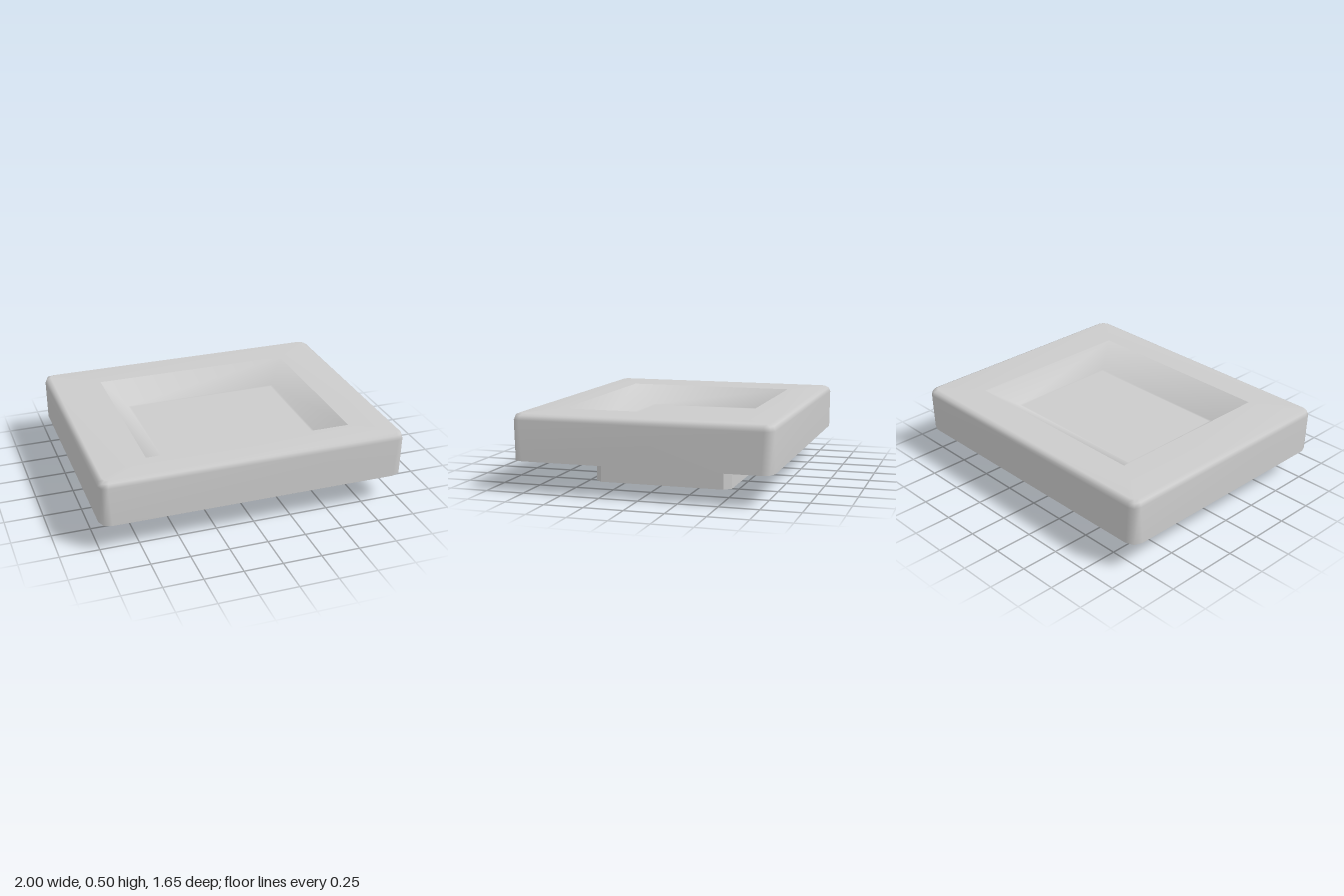
import * as THREE from 'three';

// Closed loop around a rectangle; corner > 0 rounds it with two facets per corner
function rectLoop(x0, x1, z0, z1, y, corner = 0, perCorner = 3) {
  const points = [];
  const corners = [[x1, z1, -1, -1], [x0, z1, 1, -1], [x0, z0, 1, 1], [x1, z0, -1, 1]];
  corners.forEach(([x, z, sx, sz], k) => {
    for (let i = 0; i < perCorner; i++) {
      const t = perCorner > 1 ? i / (perCorner - 1) : 0.5;
      const a = (k + t) * Math.PI / 2;
      points.push([x + sx * corner + corner * Math.cos(a), y, z + sz * corner + corner * Math.sin(a)]);
    }
  });
  return points;
}

// Skin a list of equal-length loops
function loft(loops) {
  const n = loops[0].length;
  const index = [];
  for (let r = 0; r < loops.length - 1; r++) {
    for (let j = 0; j < n; j++) {
      const a = r * n + j, a1 = r * n + (j + 1) % n;
      index.push(a, a + n, a1, a1, a + n, a1 + n);
    }
  }
  const geometry = new THREE.BufferGeometry();
  geometry.setAttribute('position', new THREE.Float32BufferAttribute(loops.flat(2), 3));
  geometry.setIndex(index);
  geometry.computeVertexNormals();
  return geometry;
}

export function createModel() {
  const group = new THREE.Group();
  const smooth = new THREE.MeshStandardMaterial({ color: 0xcccccc });
  const flat = new THREE.MeshStandardMaterial({ color: 0xcccccc, flatShading: true });
  const add = (name, loops, material) => {
    const mesh = new THREE.Mesh(loft(loops), material);
    mesh.name = name;
    group.add(mesh);
  };

  const outer = (inset, y, corner) =>
    rectLoop(-1 + inset, 1 - inset, -0.825 + inset, 0.825 - inset, y, corner);
  const foot = (y) => rectLoop(-0.547, 0.547, -0.455, 0.455, y, 0.043, 2);
  const opening = (perCorner) => rectLoop(-0.65, 0.7, -0.565, 0.595, 0.495, 0, perCorner);

  // Chamfered foot block with its closed base
  add('foot', [rectLoop(0, 0, 0, 0, 0, 0, 2), foot(0), foot(0.2)], flat);

  // Flat underside of the tray
  add('underside', [rectLoop(0, 0, 0, 0, 0.2), outer(0, 0.2, 0.07)], flat);

  // Side walls, softened top edge and rim up to the recess opening
  add('trayShell', [
    outer(0, 0.2, 0.07),
    outer(0, 0.455, 0.055),
    outer(0.01, 0.483, 0.05),
    outer(0.035, 0.495, 0.035),
    opening(3),
  ], smooth);

  // Sloping recess walls blending into a flat floor
  add('recess', [
    opening(1),
    rectLoop(-0.505, 0.565, -0.385, 0.4, 0.37, 0, 1),
    rectLoop(-0.49, 0.55, -0.37, 0.385, 0.367, 0, 1),
    rectLoop(0.03, 0.03, 0.01, 0.01, 0.367, 0, 1),
  ], smooth);

  return group;
}
